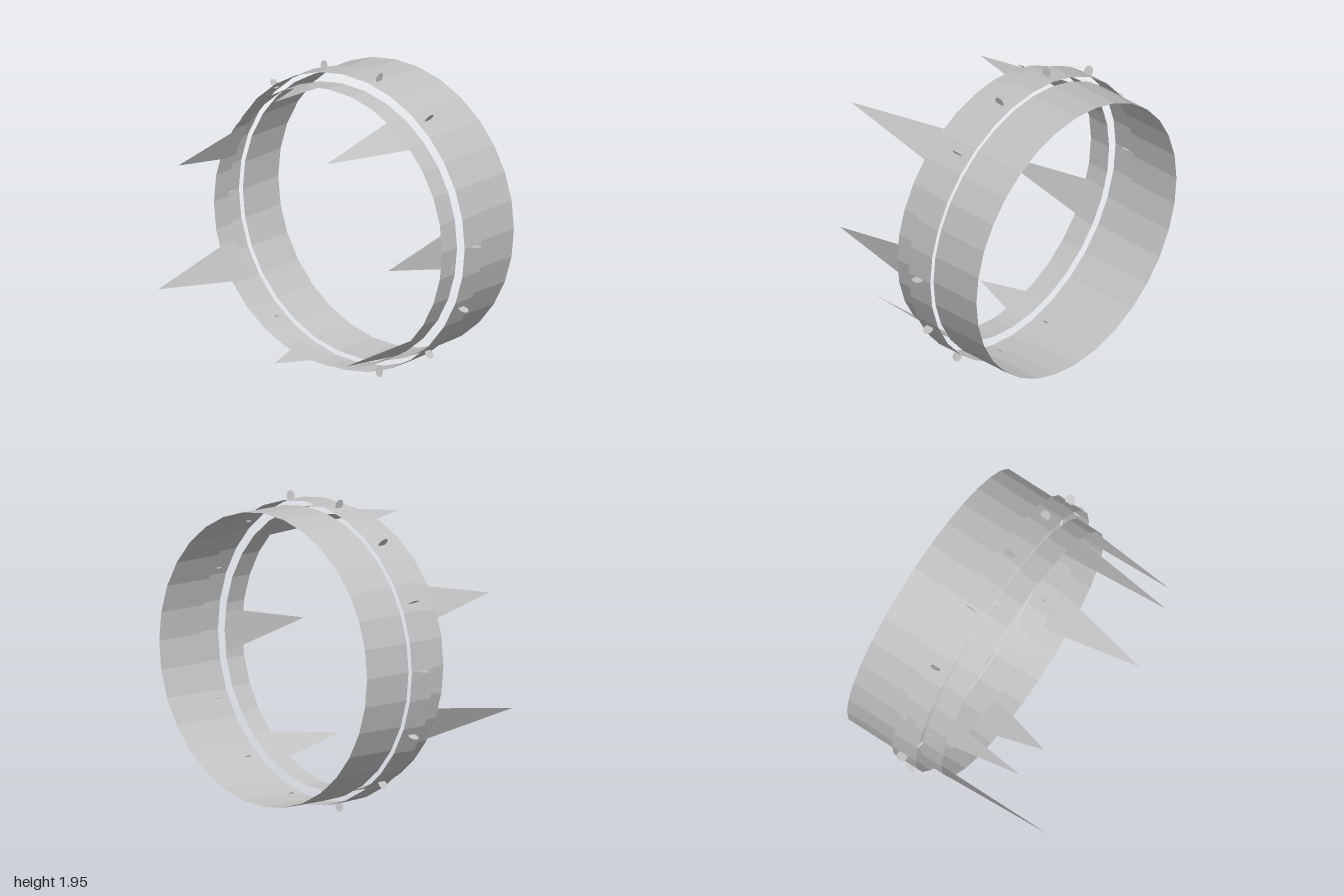
import * as THREE from 'three';

const CY = 0.974; // height of the ring axis

export function createModel() {
  const model = new THREE.Group();
  const silver = new THREE.MeshStandardMaterial({
    color: 0xc0c0c0, flatShading: true, side: THREE.DoubleSide,
  });
  silver.name = 'silver';

  const collar = new THREE.Group();
  collar.name = 'spikedCollar';
  collar.position.y = CY;
  model.add(collar);

  const add = (geometry, name) => {
    const mesh = new THREE.Mesh(geometry, silver);
    mesh.name = name;
    collar.add(mesh);
    return mesh;
  };

  // Three open bands along z
  const band = (name, radius, zFront, zBack) => {
    const g = new THREE.CylinderGeometry(radius, radius, zFront - zBack, 32, 1, true);
    g.rotateX(Math.PI / 2);
    g.translate(0, 0, (zFront + zBack) / 2);
    add(g, name);
  };
  band('frontBand', 0.888, -0.013, -0.163);
  band('middleBand', 0.947, -0.163, -0.339);
  band('backBand', 0.917, -0.339, -0.694);

  // Flat triangular spikes in three repeating lengths, tips leaning inwards
  const tips = [0.49, 0.69, 0.275];
  const halfAngle = 0.155;
  for (let i = 0; i < 7; i++) {
    const a = (i / 7) * Math.PI * 2;
    const at = (r, t, z) => new THREE.Vector3(r * Math.cos(t), r * Math.sin(t), z);
    const g = new THREE.BufferGeometry().setFromPoints([
      at(0.888, a - halfAngle, -0.163),
      at(0.888, a + halfAngle, -0.163),
      at(0.86, a, tips[i % 3]),
    ]);
    g.computeVertexNormals();
    add(g, 'spike' + (i + 1));
  }

  // Flat round studs standing edge-on around the middle band
  for (let i = 0; i < 14; i++) {
    const g = new THREE.CircleGeometry(0.034, 12);
    g.rotateX(-Math.PI / 2);
    g.translate(0.966, 0, -0.251);
    g.rotateZ((i / 14) * Math.PI * 2);
    add(g, 'stud' + (i + 1));
  }

  return model;
}
